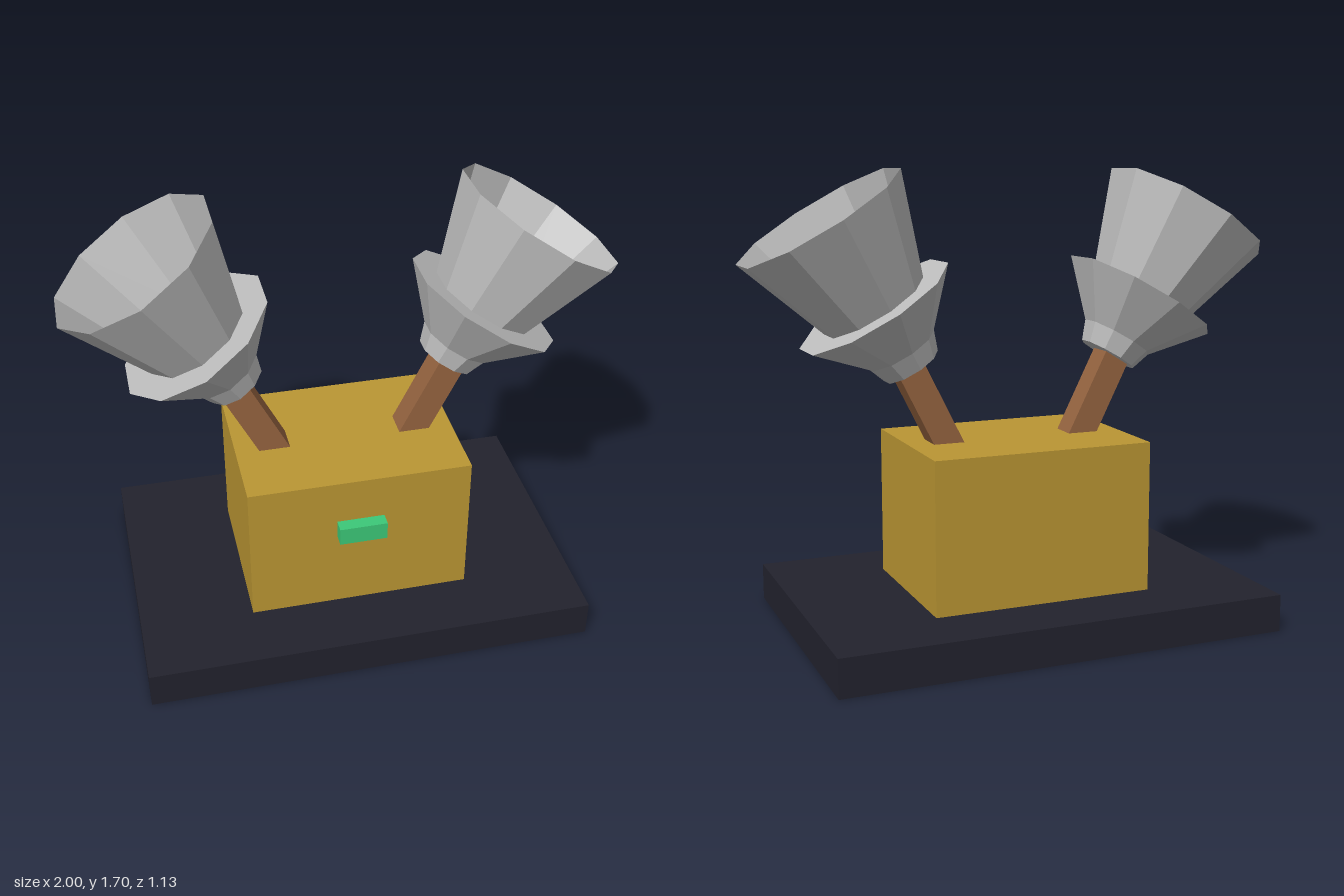
import * as THREE from 'three';

const material = (name, color, options = {}) => {
  const m = new THREE.MeshStandardMaterial({ color, flatShading: true, ...options });
  m.name = name;
  return m;
};

export function createModel() {
  const dark = material('dark navy', 0x22222d);
  const gold = material('ochre', 0xba9633);
  const green = material('green', 0x3cc878);
  const brown = material('brown', 0x966440);
  const grey = material('light grey', 0xbcbcbc, { side: THREE.DoubleSide });

  const model = new THREE.Group();
  model.name = 'twinHornMachine';

  const add = (parent, name, geometry, mat, x, y, z) => {
    const mesh = new THREE.Mesh(geometry, mat);
    mesh.name = name;
    mesh.position.set(x, y, z);
    parent.add(mesh);
    return mesh;
  };

  // Plinth, cabinet and the small front indicator
  add(model, 'base', new THREE.BoxGeometry(1.69, 0.14, 1.126), dark, 0, 0.07, 0);
  add(model, 'cabinet', new THREE.BoxGeometry(0.84, 0.565, 0.63), gold, 0, 0.4225, 0);
  add(model, 'indicator', new THREE.BoxGeometry(0.18, 0.07, 0.07), green, 0, 0.495, 0.33);

  // Ten-sided frustum from y0 to y1
  const frustum = (r0, r1, y0, y1, open) =>
    new THREE.CylinderGeometry(r1, r0, y1 - y0, 10, 1, open).translate(0, (y0 + y1) / 2, 0);

  for (const [side, s] of [['left', 1], ['right', -1]]) {
    // Leaning square post
    const post = add(model, side + 'Post',
      new THREE.BoxGeometry(0.105, 0.45, 0.105), brown, s * 0.329, 0.82, 0);
    post.rotation.z = -s * 0.465;

    // Horn: neck, flared collar with a flat top, and an open cup
    const horn = new THREE.Group();
    horn.name = side + 'Horn';
    horn.position.set(s * 0.535, 1.217, 0);
    horn.rotation.z = -s * 0.55;
    add(horn, 'neck', frustum(0.113, 0.14, -0.262, -0.187, false), grey, 0, 0, 0);
    add(horn, 'collar', frustum(0.14, 0.308, -0.187, 0, false), grey, 0, 0, 0);
    add(horn, 'cup', frustum(0.205, 0.334, 0, 0.373, true), grey, 0, 0, 0);
    model.add(horn);
  }
  return model;
}
